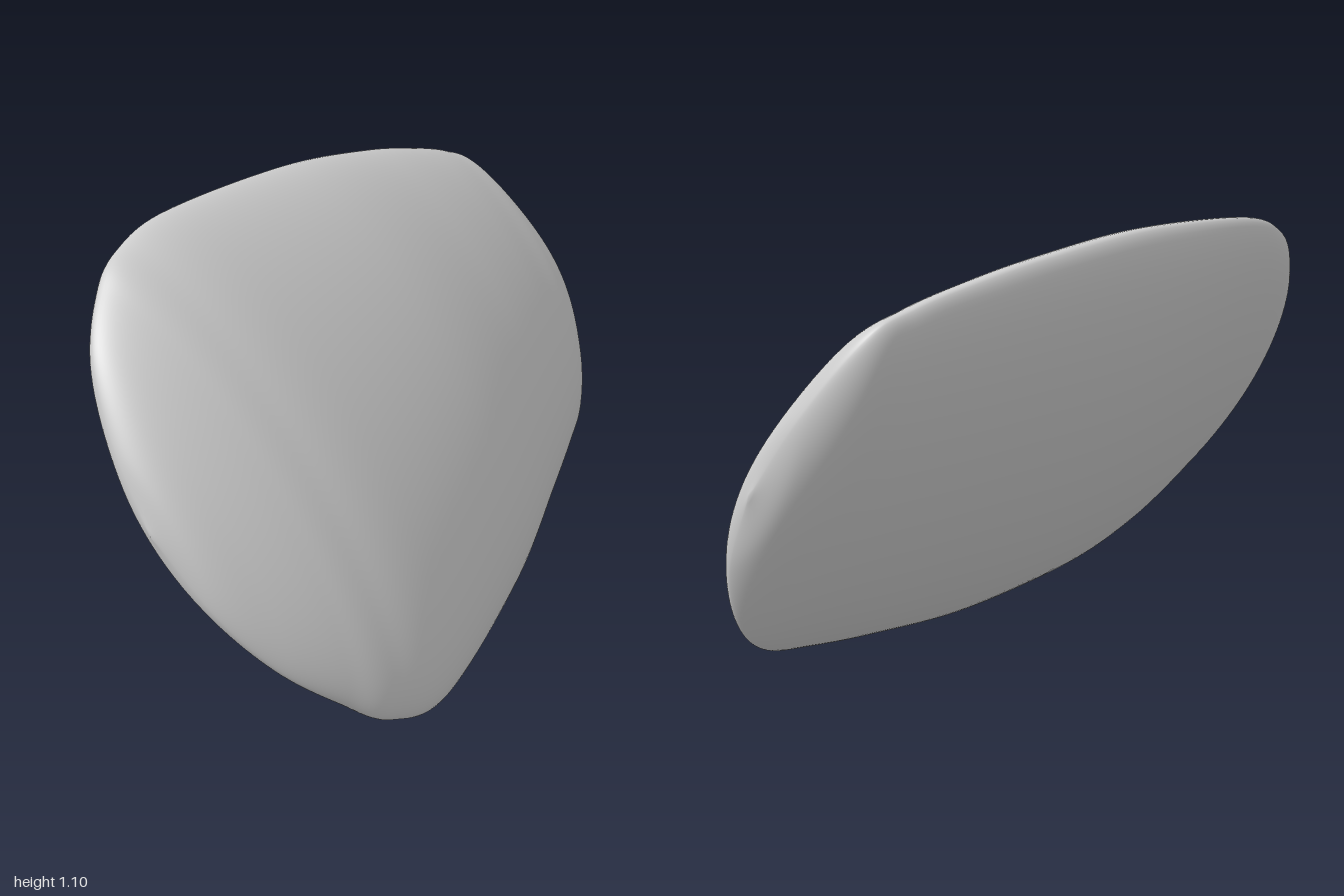
import * as THREE from 'three';
import { mergeVertices } from 'three/addons/utils/BufferGeometryUtils.js';

// Stations from front to back: z, upper rim (across, out), lower rim (across, out), half thickness.
// "across" runs up the leaning plate, "out" is perpendicular to it.
const STATIONS = [
  [1.0, 0.07, -0.045, 0.07, -0.045, 0],
  [0.97, 0.25, -0.05, -0.15, -0.02, 0.05],
  [0.9, 0.43, -0.055, -0.33, 0.0, 0.09],
  [0.8, 0.55, -0.05, -0.475, 0.02, 0.125],
  [0.7, 0.615, -0.04, -0.58, 0.03, 0.145],
  [0.5, 0.65, -0.03, -0.645, 0.035, 0.165],
  [0.0, 0.633, -0.04, -0.614, 0.0, 0.183],
  [-0.4, 0.58, -0.055, -0.538, -0.03, 0.162],
  [-0.65, 0.525, -0.06, -0.482, -0.045, 0.138],
  [-0.8, 0.48, -0.063, -0.436, -0.05, 0.118],
  [-0.9, 0.42, -0.06, -0.334, -0.035, 0.095],
  [-0.97, 0.227, -0.04, -0.174, -0.02, 0.06],
  [-1.0, 0.02, -0.02, 0.02, -0.02, 0],
];
const CENTER_Y = 0.565;
const ACROSS = new THREE.Vector3(-0.504, 0.864, 0);
const OUT = new THREE.Vector3(0.864, 0.504, 0);

// Smooth curve through three columns of the stations
function curveOf(a, b, c) {
  const points = STATIONS.map((s) => new THREE.Vector3(s[a], s[b], s[c]));
  return new THREE.CatmullRomCurve3(points, false, 'catmullrom', 0.5);
}

function createShell(rings = 120, sides = 96) {
  const upper = curveOf(0, 1, 2);
  const lower = curveOf(0, 3, 4);
  const thickness = curveOf(0, 5, 5);
  const positions = [];
  const indices = [];

  for (let i = 0; i <= rings; i++) {
    const a = upper.getPoint(i / rings);
    const b = lower.getPoint(i / rings);
    const half = Math.max(0, thickness.getPoint(i / rings).y);
    for (let j = 0; j < sides; j++) {
      const angle = (j / sides) * Math.PI * 2;
      const k = (1 + Math.cos(angle)) / 2;
      const s = Math.sin(angle);
      // lens section between the two rims
      const across = THREE.MathUtils.lerp(b.y, a.y, k);
      const out = THREE.MathUtils.lerp(b.z, a.z, k) + half * Math.sign(s) * Math.abs(s) ** 1.2;
      positions.push(
        ACROSS.x * across + OUT.x * out,
        CENTER_Y + ACROSS.y * across + OUT.y * out,
        a.x,
      );
      if (i < rings) {
        const p = i * sides + j;
        const q = i * sides + ((j + 1) % sides);
        indices.push(p, q, p + sides, q, q + sides, p + sides);
      }
    }
  }

  const geometry = new THREE.BufferGeometry();
  geometry.setAttribute('position', new THREE.Float32BufferAttribute(positions, 3));
  geometry.setIndex(indices);
  const welded = mergeVertices(geometry, 1e-5);
  welded.computeVertexNormals();
  return welded;
}

export function createModel() {
  const group = new THREE.Group();
  group.name = 'leaningPebble';
  const shell = new THREE.Mesh(
    createShell(),
    new THREE.MeshStandardMaterial({ color: 0xcccccc }),
  );
  shell.name = 'shell';
  group.add(shell);
  return group;
}
